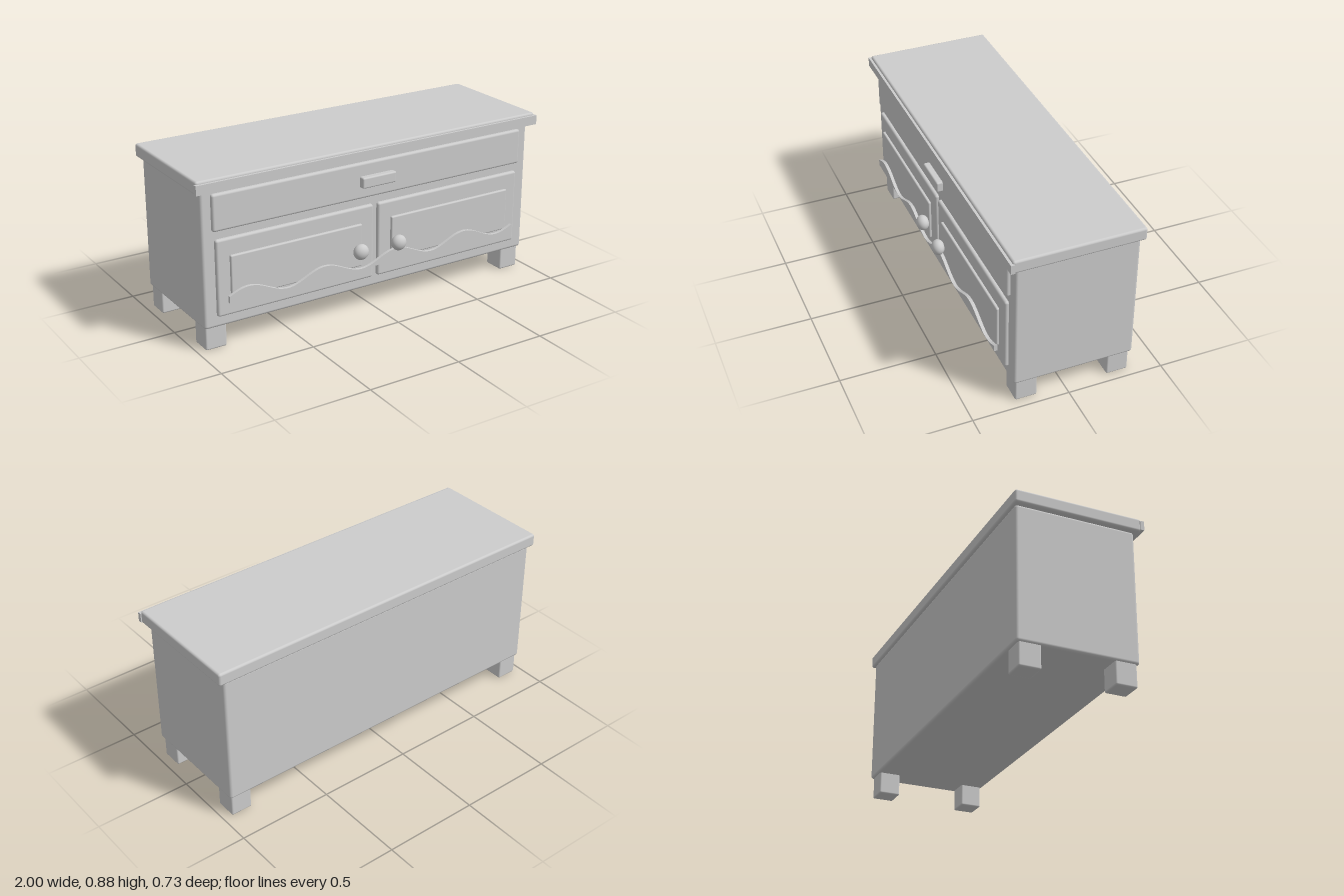
import * as THREE from 'three';
import { RoundedBoxGeometry } from 'three/addons/geometries/RoundedBoxGeometry.js';

export function createModel() {
  const model = new THREE.Group();
  model.name = 'sideboard';
  const grey = new THREE.MeshStandardMaterial({ color: 0xcccccc });
  grey.name = 'plain grey';

  const add = (name, geometry) => {
    const mesh = new THREE.Mesh(geometry, grey);
    mesh.name = name;
    model.add(mesh);
    return mesh;
  };

  // Box given by its limits on each axis, with softened edges
  const box = (name, [x0, x1], [y0, y1], [z0, z1], radius) => {
    const size = [x1 - x0, y1 - y0, z1 - z0];
    const geometry = radius
      ? new RoundedBoxGeometry(...size, 3, radius)
      : new THREE.BoxGeometry(...size);
    add(name, geometry).position.set((x0 + x1) / 2, (y0 + y1) / 2, (z0 + z1) / 2);
  };

  // Carcass, top and the thin strip along the top's front edge
  box('body', [-0.965, 0.965], [0.117, 0.82], [-0.352, 0.275], 0.015);
  box('top', [-0.995, 0.995], [0.815, 0.883], [-0.366, 0.3], 0.012);
  box('topFrontStrip', [-1, 1], [0.821, 0.87], [0.292, 0.313], 0);

  // Drawer with its pull
  box('drawer', [-0.912, 0.908], [0.615, 0.802], [0.245, 0.294], 0.012);
  box('drawerPull', [-0.1, 0.098], [0.678, 0.734], [0.28, 0.326], 0.008);

  // Doors, raised panels and round knobs
  for (const side of [-1, 1]) {
    const label = side > 0 ? 'left' : 'right';
    const span = (a, b) => [side * a, side * b].sort((p, q) => p - q).map((x) => x - 0.003);
    box(label + 'Door', span(0.014, 0.897), [0.176, 0.572], [0.245, 0.294], 0.012);
    box(label + 'DoorPanel', span(0.088, 0.828), [0.26, 0.486], [0.27, 0.308], 0.007);
    const knob = add(label + 'Knob', new THREE.SphereGeometry(0.041, 32, 20));
    knob.scale.z = 0.82;
    knob.position.set(side * 0.114 - 0.003, 0.351, 0.334);
  }

  // Wavy trim across the doors
  const wave = new THREE.Shape();
  const left = -0.855, width = 1.705, base = 0.254, steps = 96;
  wave.moveTo(left, base);
  wave.lineTo(left + width, base);
  for (let i = steps; i >= 0; i--) {
    const t = i / steps;
    wave.lineTo(left + width * t, 0.288 + 0.032 * Math.sin(t * Math.PI * 8));
  }
  wave.closePath();
  add('wavyTrim', new THREE.ExtrudeGeometry(wave, { depth: 0.017, bevelEnabled: false }))
    .position.z = 0.313;

  // Four square feet
  for (const [x0, x1] of [[-0.957, -0.843], [0.838, 0.952]]) {
    for (const [z0, z1] of [[0.148, 0.262], [-0.338, -0.224]]) {
      box('foot', [x0, x1], [0, 0.135], [z0, z1], 0.009);
    }
  }
  return model;
}
